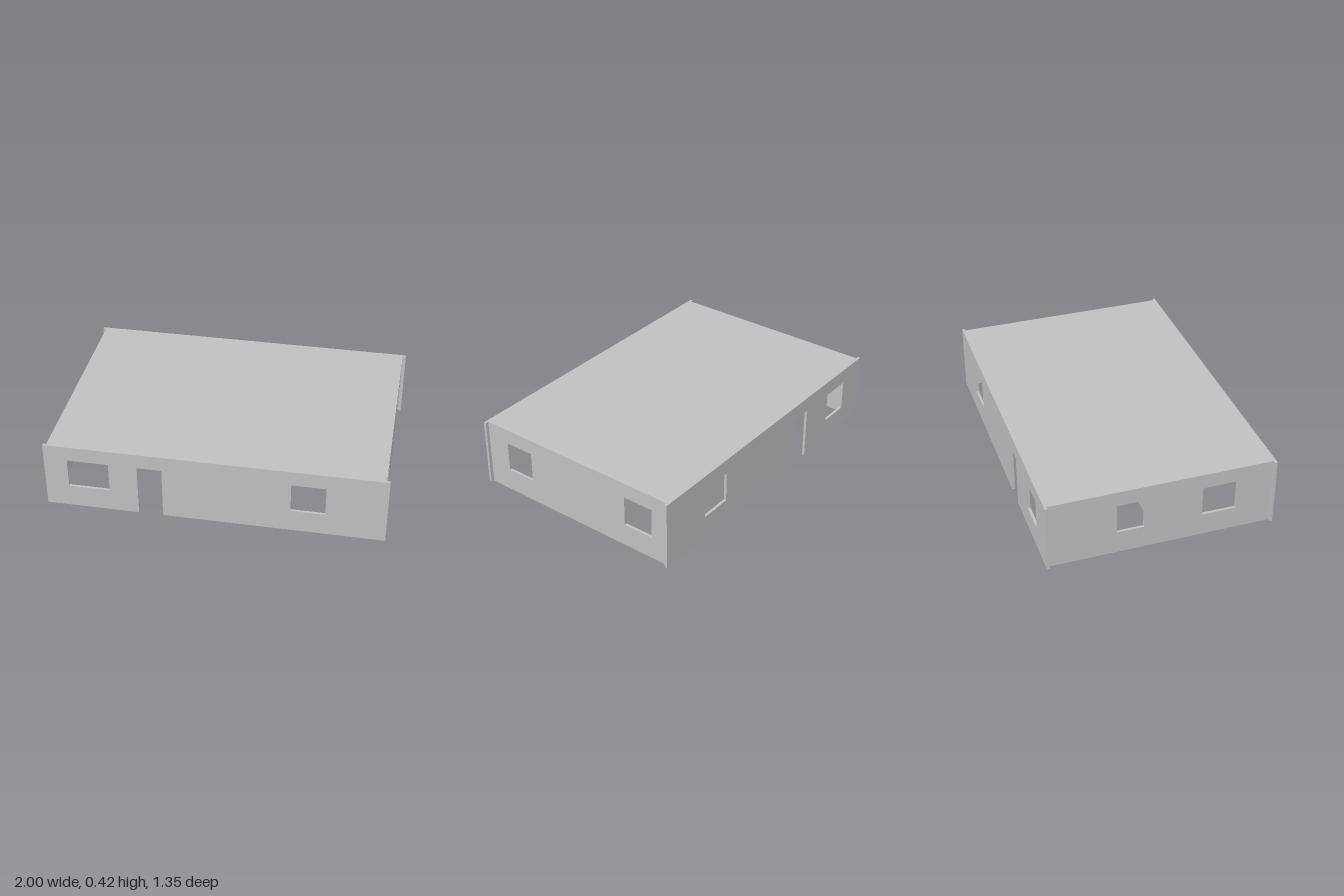
import * as THREE from 'three';

const H = 0.417, ROOF = 0.008, SILL = 0.14, HEAD = 0.325, T = 0.016;

const plaster = new THREE.MeshStandardMaterial({ color: 0xc0c0c0 });
plaster.name = 'grey plaster';

// Upright wall from a to b along one axis, centred at `at` on the other axis.
// doors and windows are [start, end] pairs along the wall, doors in rising order.
function wall(name, axis, at, a, b, height, { doors = [], windows = [] } = {}) {
  const shape = new THREE.Shape();
  shape.moveTo(a, 0);
  for (const [d0, d1] of doors) {
    shape.lineTo(d0, 0);
    shape.lineTo(d0, HEAD);
    shape.lineTo(d1, HEAD);
    shape.lineTo(d1, 0);
  }
  shape.lineTo(b, 0);
  shape.lineTo(b, height);
  shape.lineTo(a, height);
  shape.closePath();
  for (const [w0, w1] of windows) {
    const hole = new THREE.Path();
    hole.moveTo(w0, SILL);
    hole.lineTo(w0, HEAD);
    hole.lineTo(w1, HEAD);
    hole.lineTo(w1, SILL);
    hole.closePath();
    shape.holes.push(hole);
  }
  const geo = new THREE.ExtrudeGeometry(shape, { depth: T, bevelEnabled: false });
  geo.translate(0, 0, -T / 2);
  if (axis === 'z') geo.rotateY(-Math.PI / 2).translate(at, 0, 0);
  else geo.translate(0, 0, at);
  const mesh = new THREE.Mesh(geo, plaster);
  mesh.name = name;
  return mesh;
}

export function createModel() {
  const house = new THREE.Group();
  house.name = 'house';

  const zOut = 0.675 - T / 2, zIn = 0.675 - T;
  const xOut = 0.98 - T / 2, xIn = 0.98 - T;
  const inner = H - ROOF;

  // Outer walls: front and back run past the side walls at the corners
  house.add(
    wall('frontWall', 'x', zOut, -1, 1, H, {
      doors: [[-0.445, -0.3]], windows: [[-0.86, -0.615], [0.45, 0.65]],
    }),
    wall('backWall', 'x', -zOut, -1, 1, H, {
      doors: [[-0.38, -0.245]], windows: [[-0.805, -0.615], [0.455, 0.655]],
    }),
    wall('leftWall', 'z', xOut, -zIn, zIn, H, {
      windows: [[-0.555, -0.365], [0.327, 0.511]],
    }),
    wall('rightWall', 'z', -xOut, -zIn, zIn, H, {
      windows: [[-0.265, -0.105], [0.24, 0.445]],
    }),
  );

  // Inner partitions
  house.add(
    wall('backBedroomWall', 'x', -0.25, 0.11, xIn, inner),
    wall('frontBedroomWall', 'x', 0.15, 0.11, xIn, inner, { doors: [[0.81, 0.945]] }),
    wall('bathroomWall', 'z', 0.54, -0.25, 0.15, inner),
    wall('hallWall', 'z', 0.118, -zIn, zIn, inner, {
      doors: [[-0.525, -0.392], [-0.1, 0.035], [0.303, 0.4386]],
    }),
    wall('livingRoomWall', 'z', -0.07, -0.157, zIn, inner, { doors: [[0.225, 0.359]] }),
    wall('kitchenWall', 'x', 0.008, -xIn, -0.585, inner),
  );

  // Flat roof slab held between the outer walls
  const roof = new THREE.Mesh(new THREE.BoxGeometry(2 * xIn, ROOF, 2 * zIn), plaster);
  roof.name = 'roof';
  roof.position.y = H - ROOF / 2;
  house.add(roof);

  return house;
}
